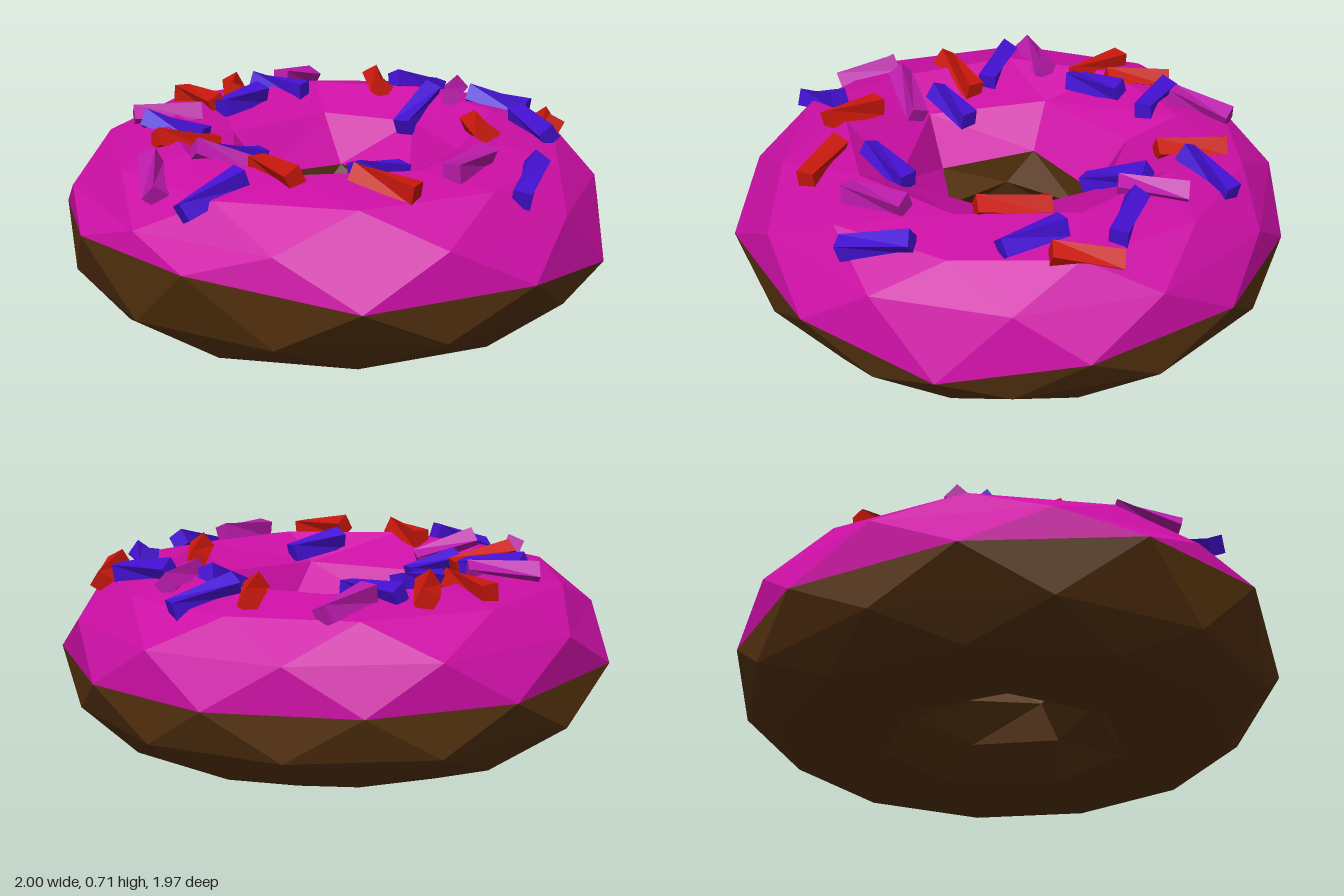
import * as THREE from 'three';

const TAU = Math.PI * 2;
const angleOf = ([x, , z]) => (Math.atan2(z, x) + TAU) % TAU;
const byAngle = (points) => points.sort((p, q) => angleOf(p) - angleOf(q));

// Regular ring of n points, turned by a fraction of one step
function ring(n, radius, y, turn = 0) {
  return byAngle(Array.from({ length: n }, (_, i) => {
    const a = ((i + turn) / n) * TAU;
    return [Math.cos(a) * radius, y, Math.sin(a) * radius];
  }));
}

// Ring between neighbouring points of another ring
function between(points, radius, y) {
  return byAngle(points.map((p, i) => {
    const q = points[(i + 1) % points.length];
    const a = Math.atan2(p[2] + q[2], p[0] + q[0]);
    return [Math.cos(a) * radius, y, Math.sin(a) * radius];
  }));
}

// Faceted skin over successive rings, which may differ in point count
function skin(rings) {
  const positions = [];
  const at = (r, i) => r[i % r.length];
  const turn = (r, i) => angleOf(at(r, i)) + TAU * Math.floor(i / r.length);
  for (let k = 0; k < rings.length - 1; k++) {
    const a = rings[k], b = rings[k + 1];
    let i = 0, j = 0;
    while (i < a.length || j < b.length) {
      const stepA = j >= b.length || (i < a.length && turn(a, i + 1) <= turn(b, j + 1));
      const third = stepA ? at(a, i + 1) : at(b, j + 1);
      positions.push(...at(a, i), ...at(b, j), ...third);
      if (stepA) i++; else j++;
    }
  }
  const geometry = new THREE.BufferGeometry();
  geometry.setAttribute('position', new THREE.Float32BufferAttribute(positions, 3));
  geometry.computeVertexNormals();
  return geometry;
}

function part(name, geometry, color) {
  const mesh = new THREE.Mesh(geometry, new THREE.MeshStandardMaterial({ color, flatShading: true }));
  mesh.name = name;
  return mesh;
}

// Sprinkles by colour: x, z of one end, then x, z of the other
const SPRINKLES = [
  ['pinkSprinkle', 0xb81aa8, [
    [-0.25, -0.78, -0.33, -0.56], [0.37, -0.64, 0.38, -0.4], [-0.52, -0.07, -0.75, 0.03],
    [-0.19, 0.38, -0.39, 0.48], [-0.53, 0.52, -0.45, 0.73], [0.59, 0.29, 0.5, 0.51]]],
  ['blueSprinkle', 0x4410d0, [
    [0.28, -0.79, 0.12, -0.62], [-0.43, -0.54, -0.21, -0.46], [0.29, -0.5, 0.21, -0.28],
    [0.44, -0.47, 0.67, -0.42], [0.64, -0.24, 0.78, -0.05], [-0.36, -0.37, -0.47, -0.17],
    [-0.68, 0.1, -0.44, 0.15], [-0.22, 0.19, -0.36, 0.34], [0.31, 0.33, 0.17, 0.5],
    [0.76, 0.24, 0.73, 0.49], [-0.17, 0.67, -0.33, 0.84]]],
  ['redSprinkle', 0xc8170c, [
    [0.01, -0.76, 0.09, -0.52], [-0.52, -0.54, -0.45, -0.31], [-0.68, -0.35, -0.49, -0.19],
    [0.73, -0.44, 0.78, -0.21], [0.48, -0.18, 0.57, 0.06], [-0.39, 0.19, -0.57, 0.34],
    [-0.16, 0.52, 0.01, 0.68], [0.19, 0.6, 0.41, 0.67]]],
];

// Four-sided stick with its upper end twisted
function sprinkleGeometry(length) {
  const geometry = new THREE.CylinderGeometry(0.046, 0.046, length, 4);
  const p = geometry.attributes.position;
  const v = new THREE.Vector3();
  const axis = new THREE.Vector3(0, 1, 0);
  for (let i = 0; i < p.count; i++) {
    v.fromBufferAttribute(p, i);
    if (v.y > 0) v.applyAxisAngle(axis, 0.5);
    p.setXYZ(i, v.x, v.y, v.z);
  }
  return geometry;
}

export function createModel() {
  const group = new THREE.Group();
  group.name = 'donut';

  // Uneven seam where icing meets dough, outside and in the hole
  const rim = byAngle([
    [-1, 0.32, 0.1], [-0.74, 0.4, 0.67], [-0.3, 0.4, 0.96], [0.29, 0.32, 0.98],
    [0.8, 0.32, 0.62], [1, 0.24, 0.14], [0.95, 0.32, -0.36], [0.57, 0.32, -0.81],
    [0.09, 0.32, -0.985], [-0.43, 0.32, -0.88], [-0.83, 0.32, -0.53]]);
  const innerSeam = byAngle([
    [-0.27, 0.42, -0.05], [-0.13, 0.4, 0.28], [0.26, 0.4, 0.18], [0.26, 0.42, -0.13], [-0.03, 0.4, -0.29]]);
  const hole = byAngle([
    [-0.23, 0.3, 0.05], [-0.02, 0.3, 0.26], [0.26, 0.3, 0.08], [0.16, 0.3, -0.19], [-0.1, 0.3, -0.22]]);
  const crest = byAngle([
    [-0.4, 0.57, -0.08], [-0.12, 0.57, -0.41], [0.24, 0.57, -0.35],
    [0.45, 0.57, -0.02], [0.25, 0.55, 0.38], [-0.28, 0.55, 0.35]]);

  // Icing: rim, over the top, down into the hole
  const shoulder = between(rim, 0.95, 0.48);
  const icing = part('icing', skin([
    rim, shoulder, between(shoulder, 0.83, 0.6), ring(9, 0.62, 0.645, 0.3), crest, innerSeam]), 0xcc0fa5);

  // Dough: hole, underside, back out to the rim
  const belly = between(rim, 0.95, 0.16);
  const dough = part('dough', skin([
    innerSeam, hole, ring(6, 0.33, 0.16, 0.4), ring(7, 0.45, 0.04, 0.2), ring(9, 0.68, 0, 0.5),
    between(belly, 0.82, 0.045), belly, rim]), 0x55320f);
  group.add(dough, icing);

  // Sprinkles resting on the icing
  const ray = new THREE.Raycaster();
  const down = new THREE.Vector3(0, -1, 0);
  const onIcing = (x, z) => {
    ray.set(new THREE.Vector3(x, 2, z), down);
    const hit = ray.intersectObject(icing)[0];
    return new THREE.Vector3(x, Math.max(hit ? hit.point.y : 0, 0.54) + 0.025, z);
  };
  const sprinkles = new THREE.Group();
  sprinkles.name = 'sprinkles';
  for (const [name, color, list] of SPRINKLES) {
    list.forEach(([x1, z1, x2, z2], i) => {
      const a = onIcing(x1, z1), b = onIcing(x2, z2);
      const stick = part(name + (i + 1), sprinkleGeometry(a.distanceTo(b)), color);
      stick.position.lerpVectors(a, b, 0.5);
      stick.quaternion.setFromUnitVectors(new THREE.Vector3(0, 1, 0), b.sub(a).normalize());
      sprinkles.add(stick);
    });
  }
  group.add(sprinkles);
  return group;
}
